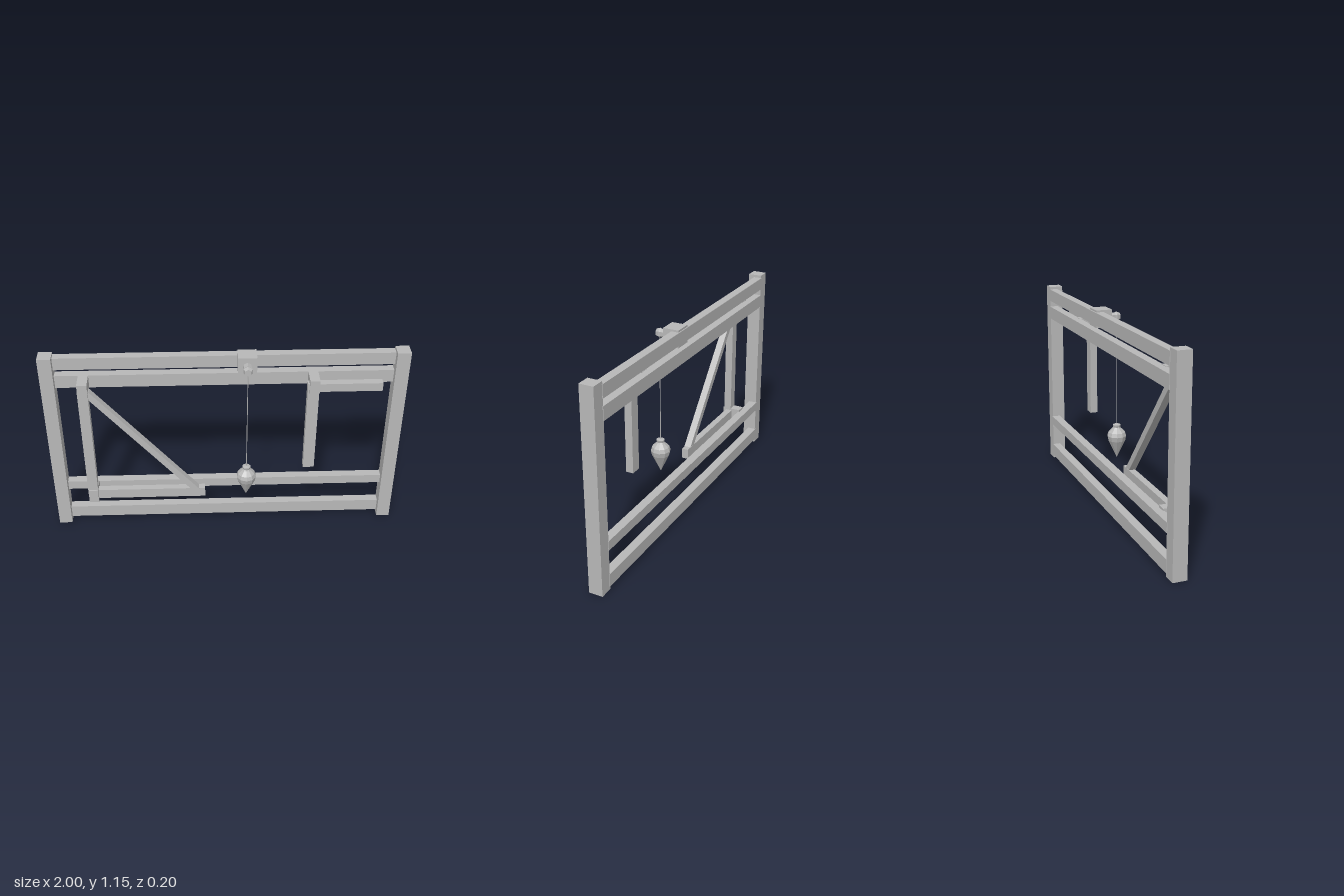
import * as THREE from 'three';

export function createModel() {
  const model = new THREE.Group();
  model.name = 'plumbFrame';
  const timber = new THREE.MeshStandardMaterial({ color: 0xb8b8b8 });
  timber.name = 'grey';

  const add = (name, geometry, parent = model) => {
    const mesh = new THREE.Mesh(geometry, timber);
    mesh.name = name;
    parent.add(mesh);
    return mesh;
  };
  // Box given by its limits on each axis
  const beam = (name, [x0, x1], [y0, y1], [z0, z1], parent) => {
    const mesh = add(name, new THREE.BoxGeometry(x1 - x0, y1 - y0, z1 - z0), parent);
    mesh.position.set((x0 + x1) / 2, (y0 + y1) / 2, (z0 + z1) / 2);
    return mesh;
  };
  // Low-poly turned part, profile listed from bottom to top
  const turned = (profile, sides) => {
    const g = new THREE.LatheGeometry(profile.map(([r, y]) => new THREE.Vector2(r, y)), sides).toNonIndexed();
    g.computeVertexNormals();
    return g;
  };

  // Frame
  const frame = new THREE.Group();
  frame.name = 'frame';
  model.add(frame);
  beam('rightPost', [-1, -0.925], [0, 1.153], [-0.098, -0.018], frame);
  beam('leftPost', [0.925, 1], [0, 1.153], [-0.098, -0.018], frame);
  [['bottomRail', 0.02, 0.095], ['lowerRail', 0.235, 0.29],
   ['upperRail', 0.952, 1.028], ['topRail', 1.066, 1.138]].forEach(([name, y0, y1]) =>
    beam(name, [-0.93, 0.93], [y0, y1], [-0.101, -0.052], frame));

  // Braced bracket
  const bracket = new THREE.Group();
  bracket.name = 'bracedBracket';
  model.add(bracket);
  beam('upperBlock', [-0.795, -0.74], [0.95, 1.03], [-0.06, 0.051], bracket);
  beam('lowerBlock', [-0.795, -0.74], [0.217, 0.302], [-0.06, 0.051], bracket);
  beam('upright', [-0.797, -0.74], [0.25, 0.99], [0, 0.045], bracket);
  beam('foot', [-0.76, -0.118], [0.23, 0.29], [-0.006, 0.032], bracket);
  const from = new THREE.Vector2(-0.75, 0.965), to = new THREE.Vector2(-0.163, 0.272);
  const brace = add('brace', new THREE.BoxGeometry(from.distanceTo(to), 0.036, 0.04), bracket);
  brace.position.set((from.x + to.x) / 2, (from.y + to.y) / 2, 0.015);
  brace.rotation.z = Math.atan2(to.y - from.y, to.x - from.x);

  // Hanging arm bracket
  const hanger = new THREE.Group();
  hanger.name = 'hangingBracket';
  model.add(hanger);
  beam('hangerBlock', [0.455, 0.509], [0.95, 1.03], [-0.06, 0.051], hanger);
  beam('hangerUpright', [0.445, 0.508], [0.44, 1.005], [0, 0.043], hanger);
  beam('hangerArm', [0.49, 0.852], [0.957, 1.006], [0.001, 0.043], hanger);

  // Plumb line
  const plumb = new THREE.Group();
  plumb.name = 'plumbLine';
  plumb.position.set(0.12, 0, 0.046);
  model.add(plumb);
  beam('pegBlock', [0.069, 0.172], [1.05, 1.149], [-0.095, -0.003]);
  const peg = add('peg', turned([[0, 0], [0.024, 0], [0.024, 0.035], [0.028, 0.045], [0.02, 0.066], [0, 0.066]], 6), plumb);
  peg.rotation.x = Math.PI / 2;
  peg.position.set(0, 1.098, -0.049);
  const string = add('string', new THREE.CylinderGeometry(0.0025, 0.0025, 0.635, 6), plumb);
  string.position.y = 0.7725;
  add('bob', turned([[0, 0.255], [0.03, 0.318], [0.051, 0.362], [0.057, 0.39], [0.05, 0.412],
    [0.026, 0.435], [0.021, 0.442], [0.024, 0.457], [0, 0.462]], 10), plumb);

  return model;
}
